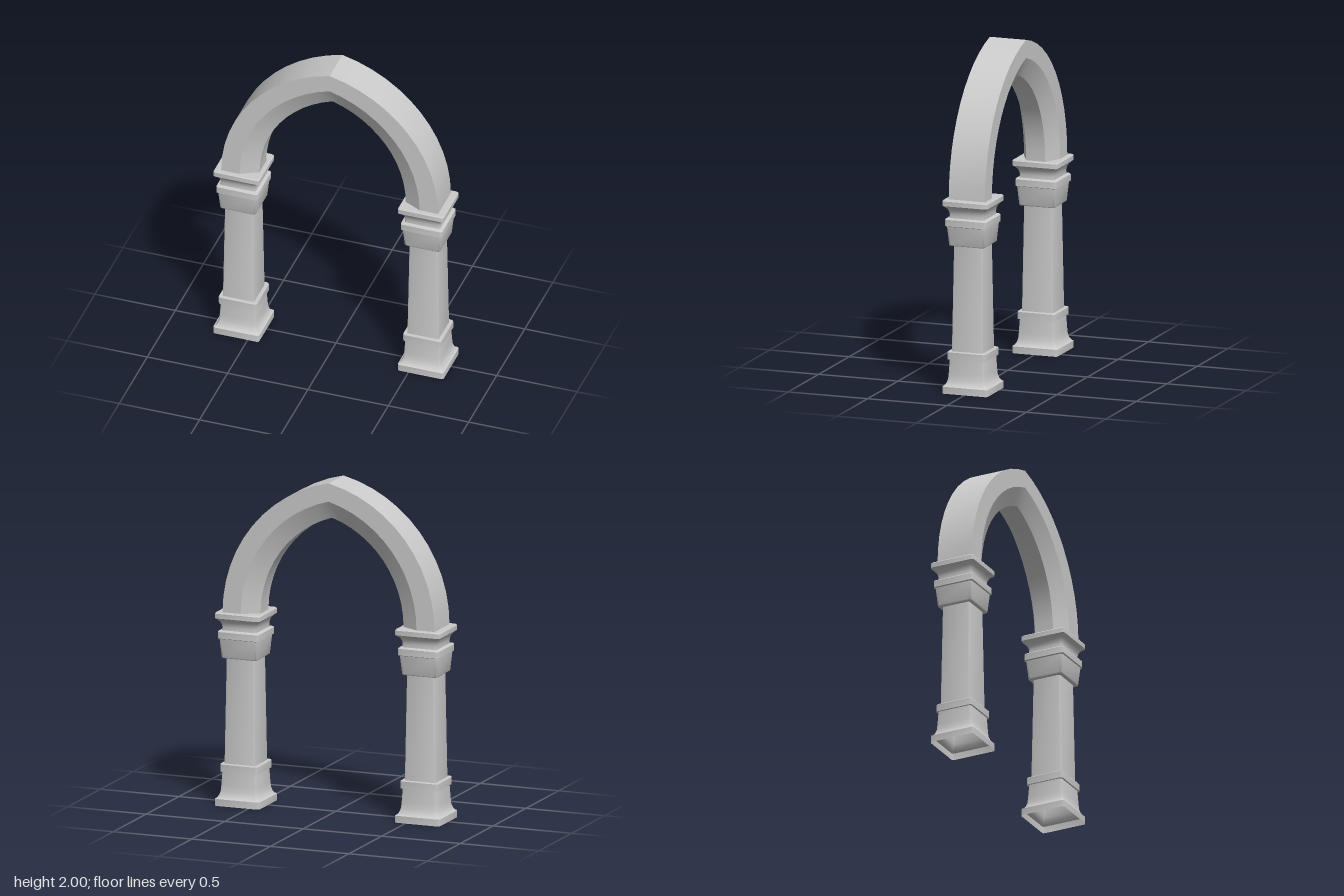
import * as THREE from 'three';
import { toCreasedNormals } from 'three/addons/utils/BufferGeometryUtils.js';

const material = new THREE.MeshStandardMaterial({ color: 0xcccccc, side: THREE.DoubleSide });

// Skin a list of equal-length closed rings of [x, y, z] points.
function loft(rings, crease) {
  const n = rings[0].length;
  const index = [];
  for (let i = 0; i < rings.length - 1; i++) {
    for (let j = 0; j < n; j++) {
      const k = (j + 1) % n;
      const a = i * n + j, b = i * n + k, c = a + n, d = b + n;
      index.push(a, b, d, a, d, c);
    }
  }
  const geometry = new THREE.BufferGeometry();
  geometry.setAttribute('position', new THREE.Float32BufferAttribute(rings.flat(2), 3));
  geometry.setIndex(index);
  return toCreasedNormals(geometry, crease);
}

// Square ring of half width h with slightly rounded corners.
function squareRing(h, y) {
  const r = Math.min(0.014, h * 0.12);
  const ring = [];
  for (let corner = 0; corner < 4; corner++) {
    const mid = Math.PI / 4 + corner * Math.PI / 2;
    const cx = Math.sign(Math.sin(mid)) * (h - r);
    const cz = Math.sign(Math.cos(mid)) * (h - r);
    for (let s = -1; s <= 1; s++) {
      const a = mid + s * Math.PI / 4;
      ring.push([cx + r * Math.sin(a), y, cz + r * Math.cos(a)]);
    }
  }
  return ring;
}

// Pillar profiles as [half width, height]
const profiles = {
  base: [[0.143, 0], [0.143, 0.042], [0.134, 0.046], [0.124, 0.062], [0.117, 0.085], [0.114, 0.12],
    [0.109, 0.203], [0.119, 0.203], [0.119, 0.246], [0.116, 0.25], [0.099, 0.25]],
  shaft: [[0.099, 0.25], [0.089, 0.886]],
  capital: [[0.089, 0.886], [0.108, 0.886], [0.112, 0.892], [0.122, 1.003], [0.13, 1.007], [0.13, 1.046],
    [0.126, 1.051], [0.11, 1.054], [0.109, 1.075], [0.113, 1.095], [0.122, 1.112], [0.136, 1.125],
    [0.143, 1.13], [0.143, 1.158], [0.138, 1.164], [0.001, 1.164]],
};

function makePillar(name, x) {
  const pillar = new THREE.Group();
  pillar.name = name;
  pillar.position.x = x;
  for (const [part, profile] of Object.entries(profiles)) {
    const mesh = new THREE.Mesh(loft(profile.map(([h, y]) => squareRing(h, y)), 0.6), material);
    mesh.name = part;
    pillar.add(mesh);
  }
  return pillar;
}

// Pointed arch: each half is a circular arc, vertical at the springing line.
const SPRING = 1.164;
function arcPoint(halfSpan, rise, t) {
  const radius = (halfSpan ** 2 + rise ** 2) / (2 * halfSpan);
  const offset = radius - halfSpan;
  const a = t * Math.atan2(rise, offset);
  return [offset - radius * Math.cos(a), SPRING + radius * Math.sin(a)];
}

function makeArch() {
  // Section edges: [half span, rise, z], outer edge, chamfer edge, inner edge
  const front = [[0.675, 0.836, 0.114], [0.56, 0.726, 0.114], [0.455, 0.618, 0.06]];
  const back = front.map(([s, r, z]) => [s, r, -z]).reverse();
  const section = [...front, ...back];
  const steps = 12;
  const rings = [];
  for (let i = 0; i <= 2 * steps; i++) {
    const t = i <= steps ? i / steps : 2 - i / steps;
    const side = i <= steps ? 1 : -1;
    rings.push(section.map(([s, r, z]) => {
      const [x, y] = arcPoint(s, r, t);
      return [side * x, y, z];
    }));
  }
  const arch = new THREE.Mesh(loft(rings, 0.38), material);
  arch.name = 'arch';
  return arch;
}

export function createModel() {
  const model = new THREE.Group();
  model.name = 'pointedArchway';
  model.add(makePillar('leftPillar', 0.574), makePillar('rightPillar', -0.574), makeArch());
  return model;
}
